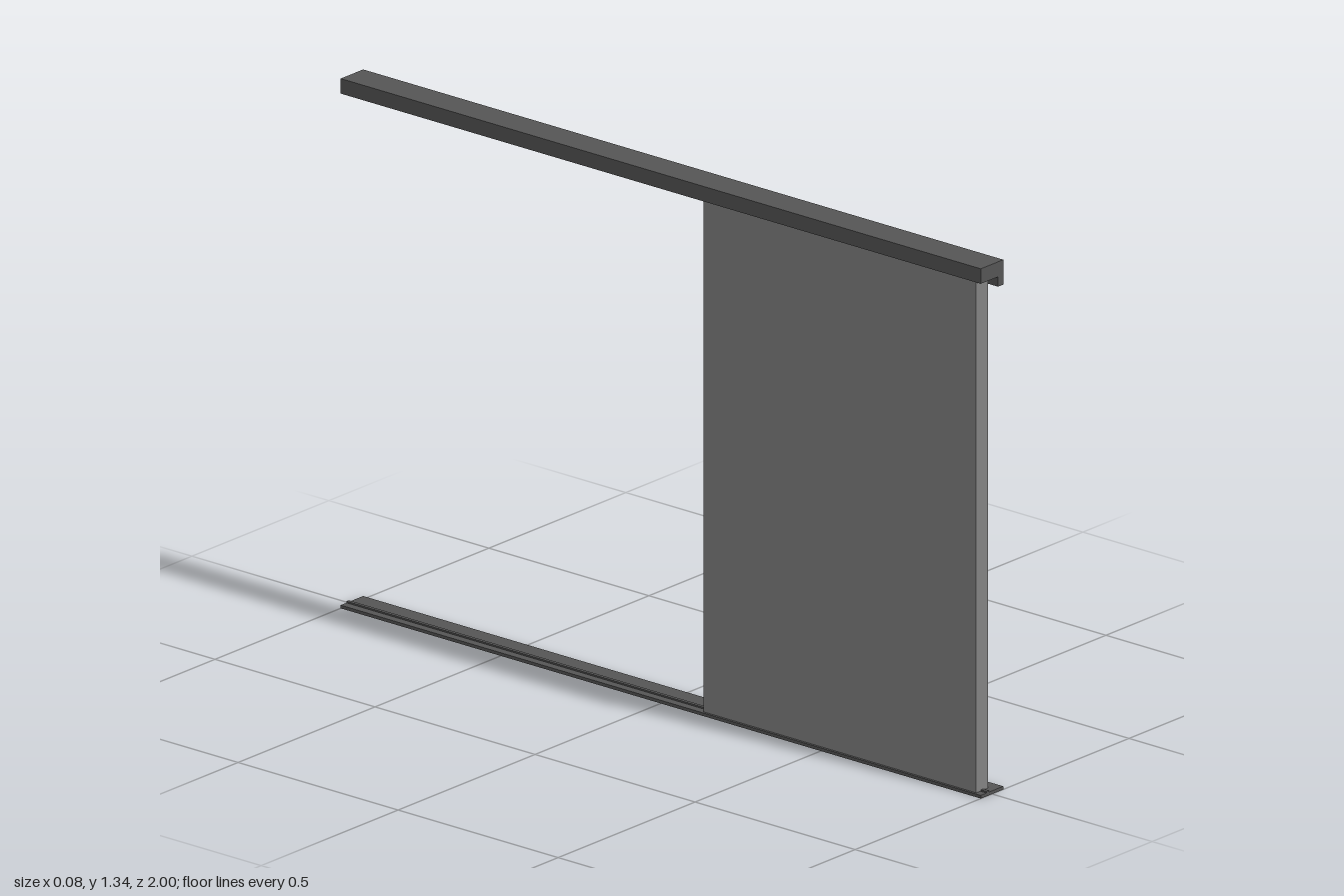
import * as THREE from 'three';
import { toCreasedNormals } from 'three/addons/utils/BufferGeometryUtils.js';

const darkGrey = new THREE.MeshStandardMaterial({ color: 0x555555 });
const midGrey = new THREE.MeshStandardMaterial({ color: 0x828282 });

function part(name, geometry, material) {
  const mesh = new THREE.Mesh(geometry, material);
  mesh.name = name;
  return mesh;
}

// Extrude an x-y profile along the full length of z.
function rail(name, points) {
  const shape = new THREE.Shape(points.map(([x, y]) => new THREE.Vector2(x, y)));
  const geometry = new THREE.ExtrudeGeometry(shape, { depth: 2, bevelEnabled: false });
  return part(name, geometry.translate(0, 0, -1), darkGrey);
}

// Mitred round bar: a cylinder whose four rings are moved onto a bent path.
function handleGeometry() {
  const r = 0.007, y = 0.607, door = 0.006, out = 0.034;
  // path x, path z, ring tilt in x and z (from the low-z end upwards)
  const stations = [
    [door, 0.27, 0, -1.414],
    [out, 0.298, 1, -0.414],
    [out, 0.812, 1, 0.414],
    [door, 0.84, 0, 1.414],
  ];
  const geometry = new THREE.CylinderGeometry(r, r, 3, 16, 3);
  const pos = geometry.attributes.position;
  for (let i = 0; i < pos.count; i++) {
    const [px, pz, tx, tz] = stations[Math.round(pos.getY(i) + 1.5)];
    const u = pos.getX(i), v = pos.getZ(i);
    pos.setXYZ(i, px + v * tx, y + u, pz + v * tz);
  }
  return toCreasedNormals(geometry, 0.5);
}

export function createModel() {
  const model = new THREE.Group();
  model.name = 'slidingDoor';

  // Overhead rail with a hanging lip on the handle side
  model.add(rail('topRail', [
    [-0.041, 1.303], [0.022, 1.303], [0.022, 1.278],
    [0.041, 1.278], [0.041, 1.341], [-0.041, 1.341],
  ]));

  // Floor track with a low guide ridge under the door
  model.add(rail('floorTrack', [
    [-0.041, 0], [0.041, 0], [0.041, 0.008], [-0.011, 0.008],
    [-0.011, 0.012], [-0.02, 0.012], [-0.02, 0.008], [-0.041, 0.008],
  ]));

  // Door panel
  const panel = part('doorPanel', new THREE.BoxGeometry(0.043, 1.294, 0.852), midGrey);
  panel.position.set(-0.0155, 0.656, 0.556);
  model.add(panel);

  // Pull bar
  model.add(part('handle', handleGeometry(), darkGrey));

  return model;
}
